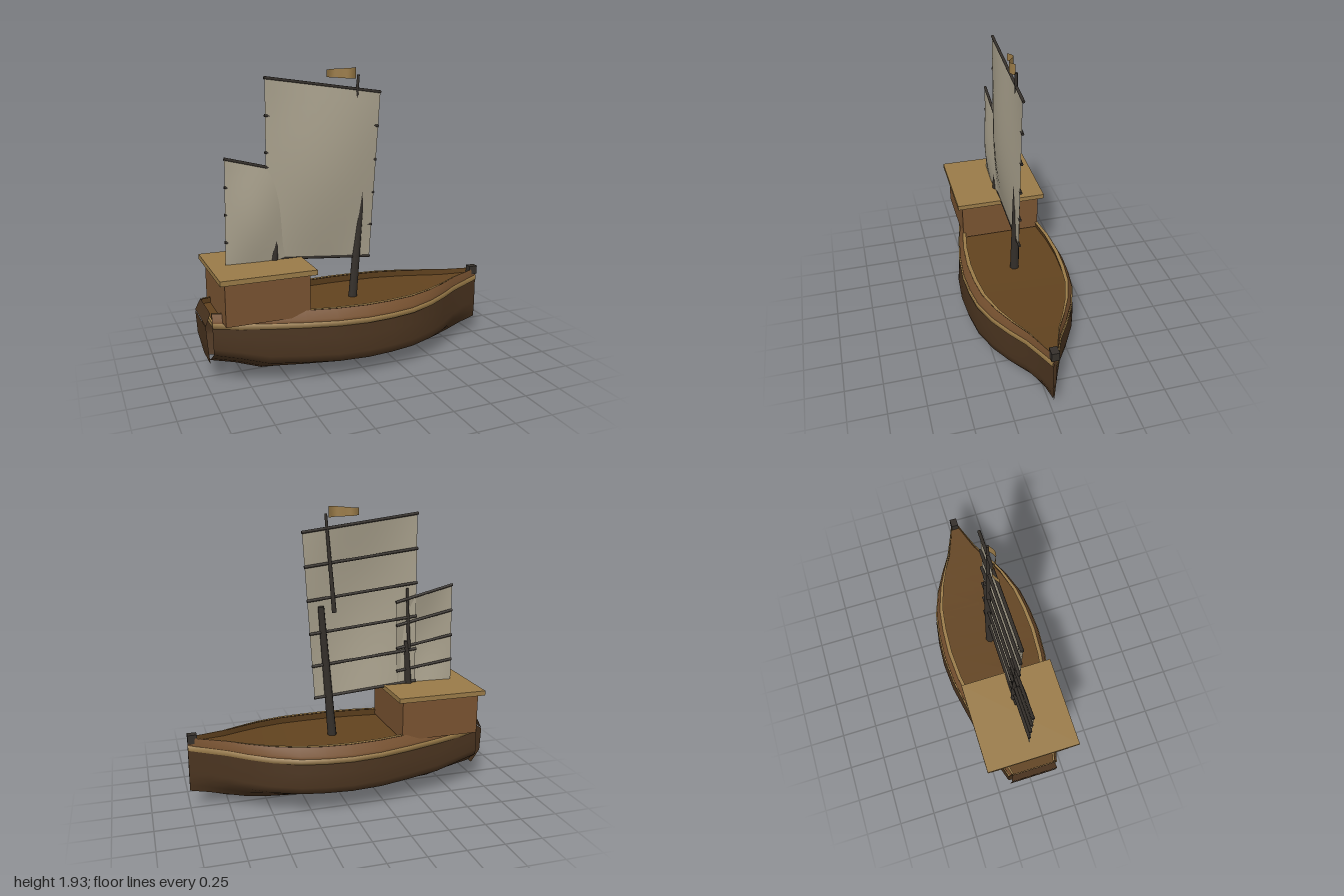
import * as THREE from 'three';

const mat = (color) => new THREE.MeshStandardMaterial({ color, side: THREE.DoubleSide });

// Hull stations: x, half width, keel height
const STATIONS = [
  [-0.96, 0.175, 0.13], [-0.8, 0.225, 0.09], [-0.63, 0.27, 0.03], [-0.4, 0.32, 0.015],
  [-0.2, 0.36, 0.005], [0, 0.375, 0.005], [0.17, 0.365, 0.01], [0.33, 0.34, 0.015],
  [0.5, 0.275, 0.02], [0.64, 0.195, 0.03], [0.76, 0.115, 0.06], [0.88, 0.06, 0.1], [1, 0.008, 0.13],
];
const sheer = (x) => 0.375 + (x < 0 ? 0.035 : 0.055) * x * x;
const railTop = (x) => 0.465 + (x < 0 ? 0.02 : 0.035) * x * x;

// Surface over a grid of (nu + 1) x (nv + 1) points given by fn(i, j) -> [x, y, z]
function sheet(nu, nv, fn) {
  const pos = [], idx = [];
  for (let i = 0; i <= nu; i++) for (let j = 0; j <= nv; j++) pos.push(...fn(i, j));
  for (let i = 0; i < nu; i++) for (let j = 0; j < nv; j++) {
    const a = i * (nv + 1) + j, b = a + nv + 1;
    idx.push(a, b, b + 1, a, b + 1, a + 1);
  }
  const g = new THREE.BufferGeometry();
  g.setAttribute('position', new THREE.Float32BufferAttribute(pos, 3));
  g.setIndex(idx);
  g.computeVertexNormals();
  return g;
}

// Sweep a cross-section along the stations; profile(x, w, keel) -> [[z, y], ...]
function sweep(profile, side) {
  const rows = STATIONS.map(([x, w, k]) => profile(x, w, k).map(([z, y]) => [x, y, z * side]));
  return sheet(rows.length - 1, rows[0].length - 1, (i, j) => rows[i][j]);
}

export function createModel() {
  const ship = new THREE.Group();
  ship.name = 'sailingShip';
  const hullMat = mat(0x49331f), deckMat = mat(0x62431f), cabinMat = mat(0x795331);
  const trimMat = mat(0x9a7b48), sailMat = mat(0xa8a08c), poleMat = mat(0x35302b);
  const add = (name, geometry, material, x = 0, y = 0, z = 0) => {
    const m = new THREE.Mesh(geometry, material);
    m.name = name;
    m.position.set(x, y, z);
    ship.add(m);
    return m;
  };
  const pole = (name, a, b, r0, r1) => {
    const p = new THREE.Vector3(...a), d = new THREE.Vector3(...b).sub(p);
    const m = add(name, new THREE.CylinderGeometry(r1, r0, d.length(), 8), poleMat);
    m.position.copy(p).addScaledVector(d, 0.5);
    m.quaternion.setFromUnitVectors(new THREE.Vector3(0, 1, 0), d.normalize());
  };

  // Two hull halves, uneven at the keel with an open slit between them
  for (const side of [1, -1]) {
    const name = side > 0 ? 'front' : 'back';
    const drop = side > 0 ? 0 : 0.05, inner = side > 0 ? 0.16 : 0.33;
    add(name + 'HullSide', sweep((x, w, k) => {
      const low = k + drop * (0.13 - k) / 0.125, s = sheer(x);
      const at = (t) => low + (s - low) * t;
      return [
        [w * 0.94, s + 0.01], [w * 0.975, at(0.75)], [w, at(0.46)], [w * 0.96, at(0.32)],
        [w * 0.55, at(0.14)], [w * inner, low],
      ];
    }, side), hullMat);
    add(name + 'TrimStrip', sweep((x, w) => {
      const s = sheer(x), o = w * 0.95 + 0.008;
      return [[w * 0.9, s + 0.018], [o, s + 0.016], [o, s - 0.016], [w * 0.9, s - 0.018]];
    }, side), trimMat);
    add(name + 'Bulwark', sweep((x, w) => [
      [w * 0.95, sheer(x) + 0.015], [w * 0.95, sheer(x) + 0.035], [w * 0.87, railTop(x)],
    ], side), cabinMat);
    add(name + 'BulwarkInside', sweep((x, w) => [
      [w * 0.81, railTop(x) - 0.002], [w * 0.84, sheer(x) + 0.035],
    ], side), deckMat);
    add(name + 'RailCap', sweep((x, w) => [
      [w * 0.87, railTop(x) + 0.001], [w * 0.8, railTop(x) + 0.001],
    ], side), trimMat);
  }

  // Deck
  add('deck', sheet(STATIONS.length - 1, 2, (i, j) => {
    const [x, w] = STATIONS[i];
    return [x, sheer(x) + 0.04, (1 - j) * w * 0.92];
  }), deckMat);

  // Stern plates and bow post
  const plate = (name, x0, y0, z0, x1, y1, z1, material) => add(name, sheet(1, 1, (i, j) => {
    const s = j ? 1 : -1;
    return i ? [x1, y1, z1 * s] : [x0, y0, z0 * s];
  }), material);
  plate('transom', -0.968, 0.13, 0.1, -0.99, 0.25, 0.17, hullMat);
  plate('upperTransom', -0.99, 0.25, 0.17, -1, 0.405, 0.165, hullMat);
  plate('sternBulwark', -1, 0.41, 0.165, -0.967, 0.485, 0.15, hullMat);
  add('sternTrim', new THREE.BoxGeometry(0.02, 0.03, 0.31), trimMat, -0.95, 0.41, 0);
  add('bowPost', new THREE.BoxGeometry(0.06, 0.06, 0.05), poleMat, 0.97, 0.49, 0);

  // Cabin
  add('cabin', new THREE.BoxGeometry(0.535, 0.28, 0.56), cabinMat, -0.633, 0.57, 0);
  add('cabinRoof', new THREE.BoxGeometry(0.605, 0.032, 0.63), trimMat, -0.632, 0.717, 0);

  // Masts, each with a thinner upper pole
  pole('mainMast', [0.035, 0.41, 0], [0.108, 1.3, 0], 0.031, 0.021);
  pole('mainTopmast', [0.022, 1.26, -0.012], [0.074, 1.89, 0], 0.016, 0.009);
  pole('aftMast', [-0.512, 0.7, 0], [-0.488, 1.03, 0], 0.025, 0.016);
  pole('aftTopmast', [-0.505, 0.98, -0.008], [-0.485, 1.39, 0], 0.013, 0.008);

  // Billowing sails with straight battens behind them
  function sail(name, tl, tr, bl, br, belly, battens) {
    const mix = (a, b, t) => a + (b - a) * t;
    const at = (u, v) => [0, 1].map((k) => mix(mix(tl[k], tr[k], u), mix(bl[k], br[k], u), v));
    const n = 14;
    add(name + 'Sail', sheet(n, n, (i, j) => {
      const u = i / n, v = j / n;
      return [...at(u, v), 0.002 + belly * Math.sin(Math.PI * u) * Math.sin(Math.PI * v)];
    }), sailMat);
    for (let b = 0; b <= battens; b++) {
      const v = b / battens;
      pole(name + 'Batten', [...at(-0.005, v), -0.003], [...at(1.005, v), -0.003], 0.01, 0.01);
    }
  }
  sail('main', [-0.545, 1.88], [0.228, 1.778], [-0.56, 0.745], [0.155, 0.685], 0.058, 5);
  sail('aft', [-0.81, 1.4], [-0.41, 1.3], [-0.828, 0.705], [-0.43, 0.665], 0.042, 4);

  // Waving pennant
  add('pennant', sheet(16, 1, (i, j) => {
    const t = i / 16, h = 0.036 - 0.013 * t;
    return [0.055 - 0.2 * t, 1.9 + (j ? -h : h), 0.026 * Math.sin(t * Math.PI * 2)];
  }), trimMat);

  return ship;
}
